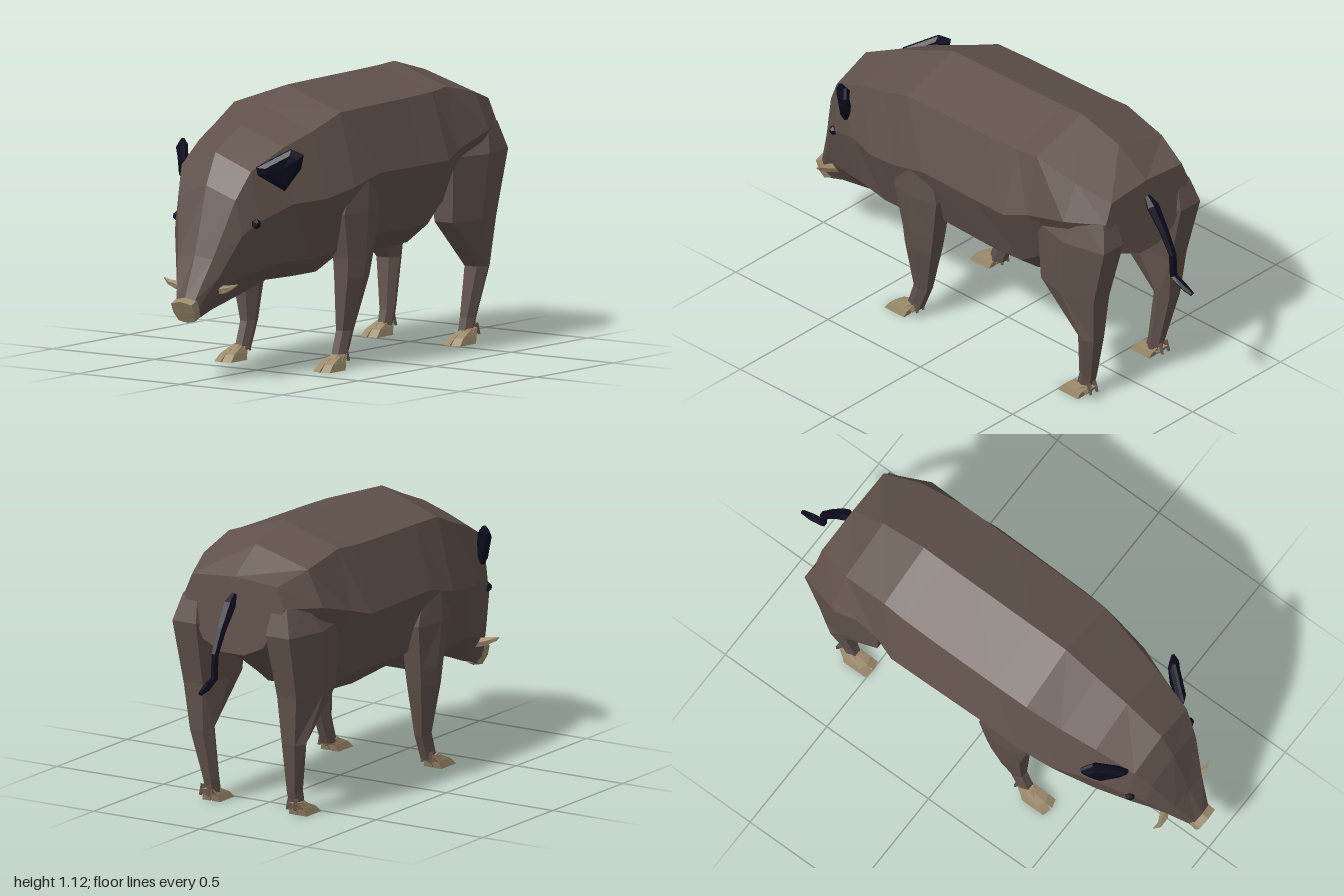
import * as THREE from 'three';

const mat = (name, color) => {
  const m = new THREE.MeshStandardMaterial({ color, flatShading: true });
  m.name = name;
  return m;
};

// Join rings of points into a closed faceted skin with fan caps, facing outwards
function loft(rings) {
  const tris = [];
  const n = rings[0].length;
  for (let r = 0; r < rings.length - 1; r++) {
    for (let i = 0; i < n; i++) {
      const j = (i + 1) % n;
      const a = rings[r][i], b = rings[r][j], c = rings[r + 1][j], d = rings[r + 1][i];
      tris.push([a, b, c], [a, c, d]);
    }
  }
  const cap = (ring, flip) => {
    const mid = ring.reduce((s, p) => s.add(p), new THREE.Vector3()).divideScalar(n);
    ring.forEach((p, i) => {
      const q = ring[(i + 1) % n];
      tris.push(flip ? [mid, q, p] : [mid, p, q]);
    });
  };
  cap(rings[0], true);
  cap(rings[rings.length - 1], false);
  const volume = tris.reduce((s, [a, b, c]) => s + a.dot(b.clone().cross(c)), 0);
  const pos = [];
  for (const [a, b, c] of tris) {
    for (const p of volume > 0 ? [a, b, c] : [a, c, b]) pos.push(p.x, p.y, p.z);
  }
  const g = new THREE.BufferGeometry();
  g.setAttribute('position', new THREE.Float32BufferAttribute(pos, 3));
  g.computeVertexNormals();
  return g;
}

const V = (x, y, z) => new THREE.Vector3(x, y, z);

// Body section: z, lean, ridge y, then x,y of shoulder, flank, belly and underside
function bodyRing([z, lean, top, ...xy]) {
  const at = (x, y) => V(x, y, z - lean * (top - y));
  const half = [];
  for (let i = 0; i < xy.length; i += 2) half.push(at(xy[i], xy[i + 1]));
  const other = half.map((p) => V(-p.x, p.y, p.z)).reverse();
  return [at(0, top), ...half, ...other];
}

// Six-sided leg section: y, front z, back z, inner x, outer x
function legRing([y, zf, zb, xi, xo]) {
  const w = (xo - xi) * 0.22, zm = (zf + zb) / 2;
  return [V(xi + w, y, zf), V(xo - w, y, zf), V(xo, y, zm),
    V(xo - w, y, zb), V(xi + w, y, zb), V(xi, y, zm)];
}

// Tapered bent rod through points x, y, z, radius
function rod(path, sides = 6) {
  const pts = path.map(([x, y, z]) => V(x, y, z));
  return path.map(([, , , r], k) => {
    const t = pts[Math.min(k + 1, pts.length - 1)].clone()
      .sub(pts[Math.max(k - 1, 0)]).normalize();
    const ref = Math.abs(t.x) > 0.5 ? V(0, 1, 0) : V(1, 0, 0);
    const u = ref.addScaledVector(t, -ref.dot(t)).normalize();
    const v = t.clone().cross(u);
    return Array.from({ length: sides }, (_, i) => {
      const a = (i / sides) * Math.PI * 2;
      return pts[k].clone().addScaledVector(u, r * Math.cos(a)).addScaledVector(v, r * Math.sin(a));
    });
  });
}

export function createModel() {
  const hide = mat('brown hide', 0x61524b);
  const horn = mat('tan horn', 0x9c8a6b);
  const dark = mat('dark navy', 0x0b0b1e);

  const model = new THREE.Group();
  model.name = 'boar';
  const add = (name, rings, material) => {
    const m = new THREE.Mesh(loft(rings), material);
    m.name = name;
    model.add(m);
  };
  // Build on the model's left (+x) and again on its right
  const addPair = (name, rings, material) => {
    add('left' + name, rings, material);
    add('right' + name, rings.map((r) => r.map((p) => V(-p.x, p.y, p.z))), material);
  };

  // Head and trunk in one skin
  const head = [
    [0.97, 0.5, 0.34, 0.045, 0.33, 0.05, 0.30, 0.047, 0.28, 0.035, 0.255],
    [0.905, 0.25, 0.5, 0.085, 0.49, 0.105, 0.42, 0.085, 0.35, 0.045, 0.285],
    [0.83, 0.08, 0.77, 0.14, 0.72, 0.165, 0.58, 0.12, 0.40, 0.06, 0.305],
    [0.77, 0.08, 0.895, 0.17, 0.83, 0.2, 0.63, 0.15, 0.42, 0.08, 0.33],
    [0.6, 0, 0.985, 0.205, 0.91, 0.255, 0.69, 0.2, 0.455, 0.12, 0.38],
  ];
  const trunk = [
    [0.45, 0, 1.045, 0.235, 0.96, 0.31, 0.7, 0.23, 0.455, 0.14, 0.38],
    [0.3, 0, 1.11, 0.26, 1.02, 0.333, 0.73, 0.24, 0.465, 0.14, 0.38],
    [0.14, 0, 1.113, 0.262, 1.025, 0.338, 0.77, 0.24, 0.51, 0.14, 0.44],
    [-0.14, 0, 1.117, 0.263, 1.03, 0.343, 0.77, 0.25, 0.51, 0.15, 0.425],
    [-0.3, 0, 1.12, 0.262, 1.035, 0.345, 0.77, 0.24, 0.51, 0.14, 0.43],
    [-0.4, 0, 1.125, 0.258, 1.045, 0.316, 0.8, 0.22, 0.57, 0.12, 0.49],
    [-0.6, 0, 1.07, 0.245, 1.0, 0.315, 0.855, 0.2, 0.66, 0.08, 0.6],
    [-0.75, 0.05, 0.97, 0.2, 0.955, 0.235, 0.87, 0.14, 0.7, 0.05, 0.66],
  ];
  add('body', [...head, ...trunk].map(bodyRing), hide);

  // Nose pad, tilted like the snout end
  const noseRing = (dz, dy) => [[0, 0.336, 0.972], [0.05, 0.325, 0.967], [0.052, 0.29, 0.95],
    [0.04, 0.255, 0.93], [0, 0.247, 0.925], [-0.04, 0.255, 0.93], [-0.052, 0.29, 0.95],
    [-0.05, 0.325, 0.967]].map(([x, y, z]) => V(x, y + dy, z + dz));
  add('nose', [noseRing(-0.008, 0.007), noseRing(0.027, -0.009)], horn);

  // Tusks
  addPair('Tusk', rod([[0.07, 0.36, 0.84, 0.018], [0.115, 0.368, 0.865, 0.018],
    [0.15, 0.38, 0.873, 0.011], [0.18, 0.394, 0.865, 0.002]], 5), horn);

  // Eyes
  addPair('Eye', rod([[0.175, 0.625, 0.755, 0.019], [0.197, 0.625, 0.762, 0.02],
    [0.208, 0.625, 0.766, 0.009]]), dark);

  // Ears: thin leaf plates
  const ear = [V(0.178, 0.845, 0.74), V(0.265, 0.912, 0.63), V(0.302, 0.89, 0.597),
    V(0.29, 0.835, 0.598), V(0.245, 0.748, 0.645), V(0.18, 0.815, 0.735)];
  const earNormal = ear[2].clone().sub(ear[0]).cross(ear[4].clone().sub(ear[0])).normalize();
  const earRing = (d, s) => ear.map((p) =>
    p.clone().lerp(V(0.243, 0.84, 0.66), s).addScaledVector(earNormal, d));
  addPair('Ear', [earRing(-0.02, 0.3), earRing(-0.006, 0), earRing(0.006, 0), earRing(0.02, 0.3)], dark);

  // Tail
  add('tail', rod([[0, 0.9, -0.755, 0.012], [0, 0.865, -0.785, 0.027], [0, 0.775, -0.845, 0.02],
    [0, 0.685, -0.892, 0.016], [0, 0.59, -0.897, 0.016], [0, 0.565, -0.95, 0.016],
    [0, 0.548, -0.998, 0.009]]), dark);

  // Legs
  addPair('FrontLeg', [
    [0.76, 0.30, 0.13, 0.22, 0.335], [0.62, 0.33, 0.1, 0.19, 0.336],
    [0.44, 0.292, 0.13, 0.19, 0.322], [0.36, 0.287, 0.145, 0.195, 0.312],
    [0.15, 0.272, 0.2, 0.205, 0.265], [0.04, 0.31, 0.245, 0.207, 0.264],
  ].map(legRing), hide);
  addPair('HindLeg', [
    [0.87, -0.56, -0.75, 0.15, 0.27], [0.76, -0.42, -0.78, 0.12, 0.318],
    [0.5, -0.43, -0.715, 0.14, 0.3], [0.305, -0.613, -0.697, 0.162, 0.27],
    [0.1, -0.59, -0.652, 0.166, 0.228], [0.04, -0.575, -0.635, 0.168, 0.226],
  ].map(legRing), hide);

  // Cloven hooves with dewclaws behind
  const hoof = (name, x, z) => {
    addPair(name + 'Ankle', [[0.06, z + 0.02, z - 0.05, x - 0.028, x + 0.028],
      [0.03, z + 0.065, z - 0.03, x - 0.034, x + 0.034]].map(legRing), horn);
    for (const s of [-1, 1]) {
      const toe = ([y, zf, zb, w, spread]) => {
        const inner = x + s * spread, outer = inner + s * w;
        return [V(inner, y, z + zf), V(outer, y, z + zf - 0.01),
          V(outer, y, z + zb), V(inner, y, z + zb)];
      };
      addPair(name + (s > 0 ? 'OuterToe' : 'InnerToe'),
        [[0.055, 0.025, -0.03, 0.026, 0], [0.028, 0.085, -0.01, 0.034, 0.001],
          [0, 0.115, 0, 0.037, 0.004]].map(toe), horn);
      addPair(name + (s > 0 ? 'OuterDewclaw' : 'InnerDewclaw'),
        rod([[x + s * 0.014, 0.075, z - 0.035, 0.012], [x + s * 0.018, 0.032, z - 0.05, 0.007]], 4), hide);
    }
  };
  hoof('FrontHoof', 0.242, 0.295);
  hoof('HindHoof', 0.204, -0.61);

  return model;
}
